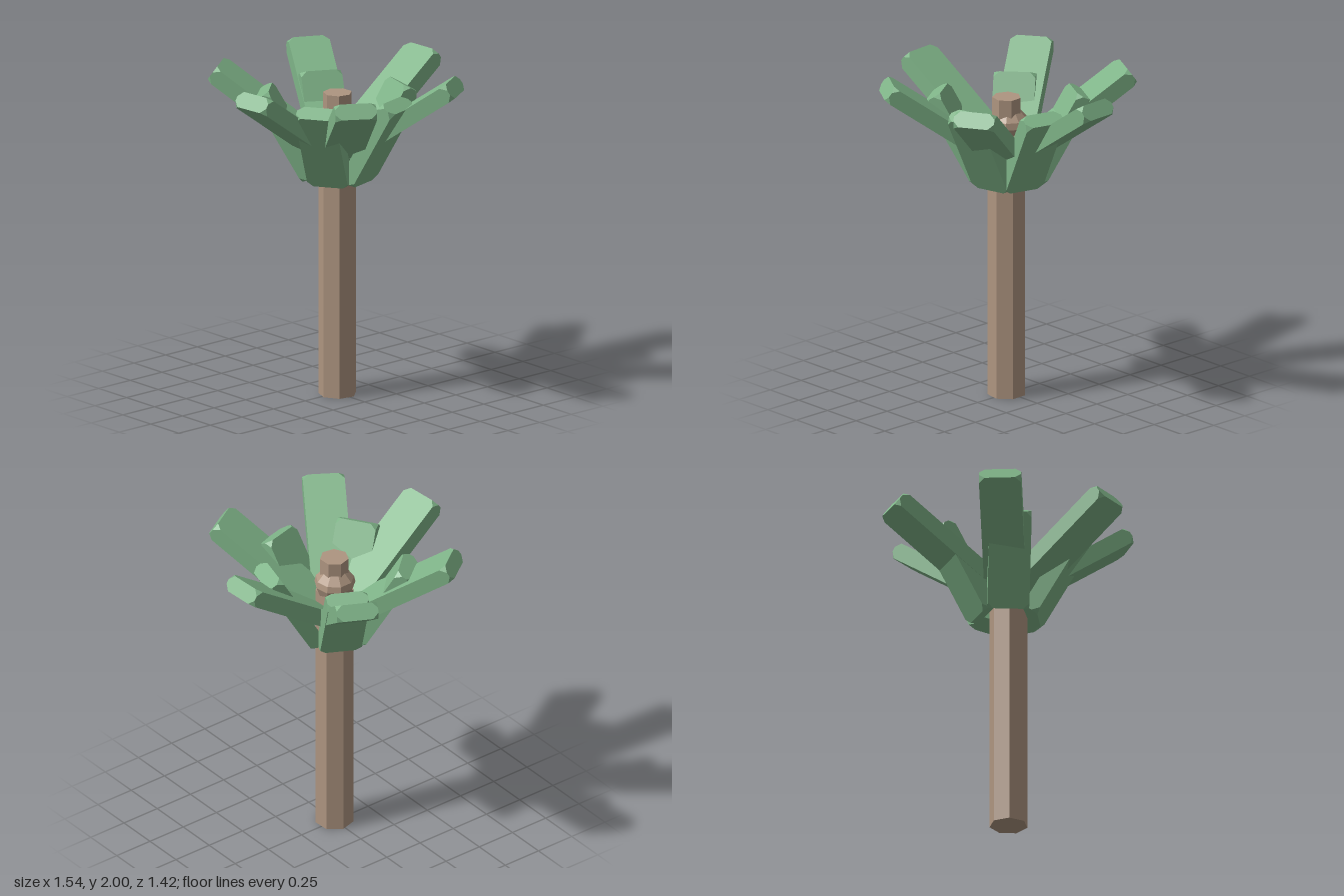
import * as THREE from 'three';
import { ConvexGeometry } from 'three/addons/geometries/ConvexGeometry.js';

const bark = new THREE.MeshStandardMaterial({ color: 0xae9580, flatShading: true });
const leaf = new THREE.MeshStandardMaterial({ color: 0x7fb488, flatShading: true });

// Box along +x ending at the origin, with its eight corners cut off
function cutBox(length, thick, width, cut) {
  const points = [];
  for (const sx of [-1, 1]) for (const sy of [-1, 1]) for (const sz of [-1, 1]) {
    const x = sx < 0 ? -length : 0, y = sy * thick / 2, z = sz * width / 2;
    points.push(
      new THREE.Vector3(x - sx * cut, y, z),
      new THREE.Vector3(x, y - sy * cut, z),
      new THREE.Vector3(x, y, z - sz * cut));
  }
  return new ConvexGeometry(points);
}

// Ring of straight fronds: heading in degrees from +x towards +z
function frondRing(name, headings, geometry, pitch, tipRadius, tipHeight) {
  const ring = new THREE.Group();
  ring.name = name + 's';
  for (const heading of headings) {
    const pivot = new THREE.Group();
    pivot.rotation.y = -THREE.MathUtils.degToRad(heading);
    const frond = new THREE.Mesh(geometry, leaf);
    frond.name = name;
    frond.position.set(tipRadius, tipHeight, 0);
    frond.rotation.z = THREE.MathUtils.degToRad(pitch);
    pivot.add(frond);
    ring.add(pivot);
  }
  return ring;
}

export function createModel() {
  const model = new THREE.Group();
  model.name = 'palmTree';

  // Seven-sided trunk with a narrower stub on top
  const addTrunk = (name, radius, bottom, top) => {
    const mesh = new THREE.Mesh(
      new THREE.CylinderGeometry(radius, radius, top - bottom, 7, 1, false, 0.27), bark);
    mesh.name = name;
    mesh.position.set(-0.005, (top + bottom) / 2, 0.012);
    model.add(mesh);
  };
  addTrunk('trunk', 0.115, 0, 1.65);
  addTrunk('trunkTop', 0.087, 1.6, 1.865);

  // Faceted knot around the stub
  const profile = [[0, 1.6], [0.09, 1.6], [0.123, 1.69], [0.115, 1.73], [0.07, 1.78], [0, 1.78]]
    .map(([r, y]) => new THREE.Vector2(r, y));
  const knot = new THREE.Mesh(new THREE.LatheGeometry(profile, 9), bark);
  knot.name = 'knot';
  model.add(knot);

  // Long spreading fronds and short steep ones
  model.add(frondRing('longFrond', [-3.2, 59, 122.5, 174.7, -126, -62.5],
    cutBox(0.78, 0.1, 0.25, 0.035), 35, 0.735, 1.96));
  model.add(frondRing('shortFrond', [15, 76, 147, -132, -62],
    cutBox(0.58, 0.1, 0.25, 0.035), 60, 0.44, 1.855));
  return model;
}
